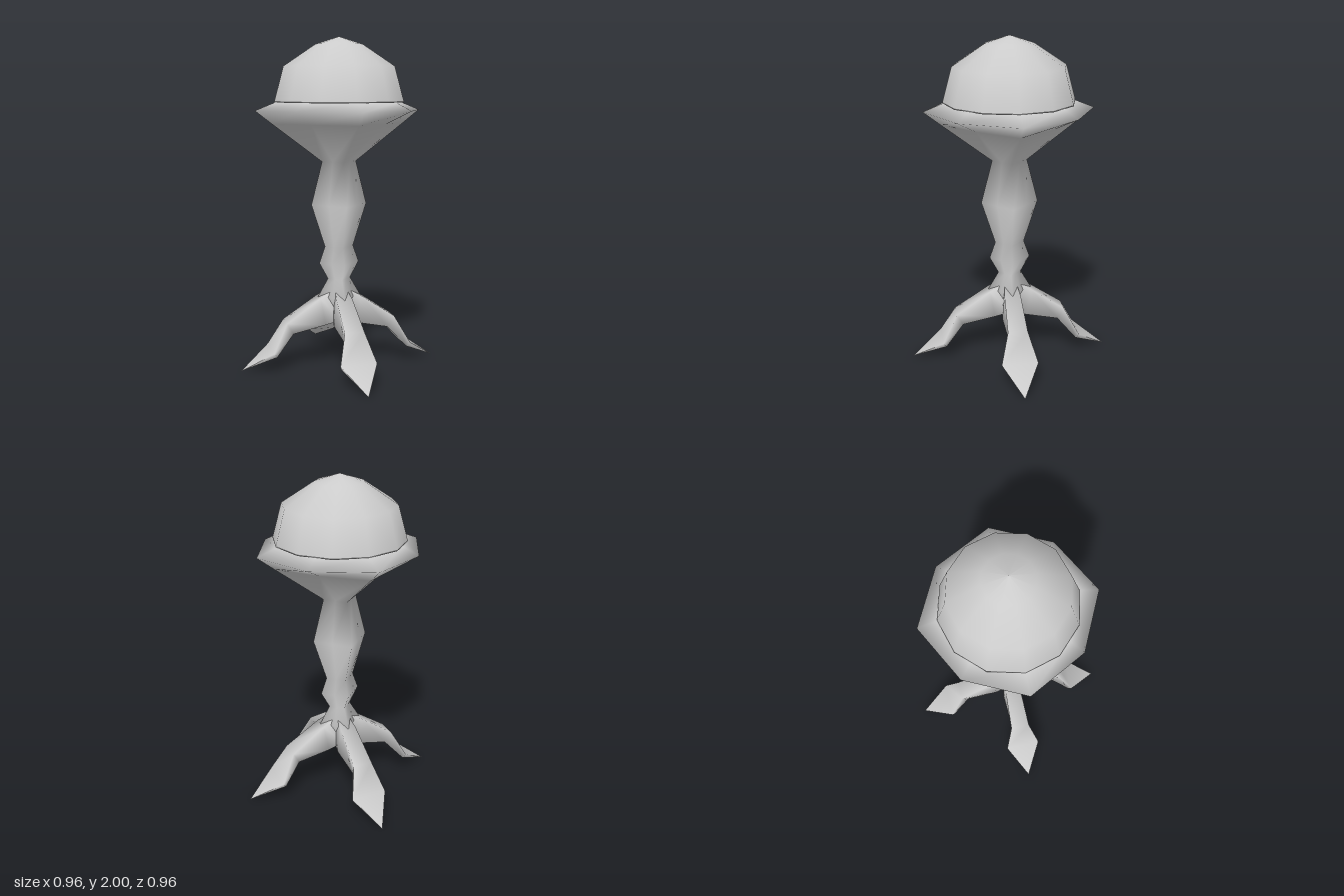
import * as THREE from 'three';

const material = new THREE.MeshStandardMaterial({ color: 0xcccccc, side: THREE.DoubleSide });

// Smooth skin over a list of rings that all have the same number of points
function loft(rings, name) {
  const n = rings[0].length;
  const index = [];
  for (let i = 0; i < rings.length - 1; i++) {
    for (let j = 0; j < n; j++) {
      const k = (j + 1) % n;
      const a = i * n + j, b = i * n + k, c = a + n, d = b + n;
      index.push(a, b, d, a, d, c);
    }
  }
  const geometry = new THREE.BufferGeometry();
  geometry.setAttribute('position', new THREE.Float32BufferAttribute(rings.flat(2), 3));
  geometry.setIndex(index);
  geometry.computeVertexNormals();
  const mesh = new THREE.Mesh(geometry, material);
  mesh.name = name;
  return mesh;
}

// Eight-point ring: a = reach along the axes, c = corner coordinate
const ring = ([y, a, c]) => [
  [0, y, a], [c, y, c], [a, y, 0], [c, y, -c],
  [0, y, -a], [-c, y, -c], [-a, y, 0], [-c, y, c],
];

// Leg section: top and bottom edges, each given as distance, height, half width
const legSection = ([td, ty, tw, bd, by, bw]) => [
  [bw, by, bd], [tw, ty, td], [-tw, ty, td], [-bw, by, bd],
];

export function createModel() {
  const model = new THREE.Group();

  // Square stem with knob
  model.add(loft([
    [0.29, 0.03, 0.03],
    [0.43, 0.085, 0.095],
    [0.54, 0.05, 0.05],
    [0.64, 0.088, 0.088],
    [0.74, 0.063, 0.063],
    [1.0, 0.122, 0.122],
    [1.26, 0.075, 0.075],
    // flared bowl and pointed rim
    [1.49, 0.315, 0.29],
    [1.567, 0.478, 0.36],
    [1.615, 0.38, 0.275],
    [1.6, 0.3, 0.21],
    [1.6, 0, 0],
  ].map(ring), 'stemAndBowl'));

  // Twelve-sided dome with a closed base
  const profile = [[0, 1.615], [0.393, 1.615], [0.393, 1.62], [0.337, 1.825], [0.145, 1.953], [0, 2]]
    .map(([r, y]) => new THREE.Vector2(r, y));
  const dome = new THREE.Group();
  dome.name = 'dome';
  const cap = new THREE.Mesh(new THREE.LatheGeometry(profile.slice(2), 12, Math.PI / 12), material);
  cap.name = 'domeShell';
  const base = new THREE.Mesh(new THREE.LatheGeometry(profile.slice(0, 3), 12, Math.PI / 12), material);
  base.name = 'domeBase';
  dome.add(cap, base);
  model.add(dome);

  // Four splayed legs on the diagonals, ending in pointed feet
  const sections = [
    [0.0, 0.5, 0.03, 0.0, 0.28, 0.04],
    [0.13, 0.43, 0.05, 0.1, 0.265, 0.06],
    [0.34, 0.29, 0.06, 0.3, 0.22, 0.05],
    [0.43, 0.125, 0.11, 0.41, 0.1, 0.1],
    [0.615, 0, 0, 0.615, 0, 0],
  ].map(legSection);
  for (let i = 0; i < 4; i++) {
    const leg = loft(sections, 'leg');
    leg.rotation.y = Math.PI / 4 + i * Math.PI / 2;
    model.add(leg);
  }
  return model;
}
